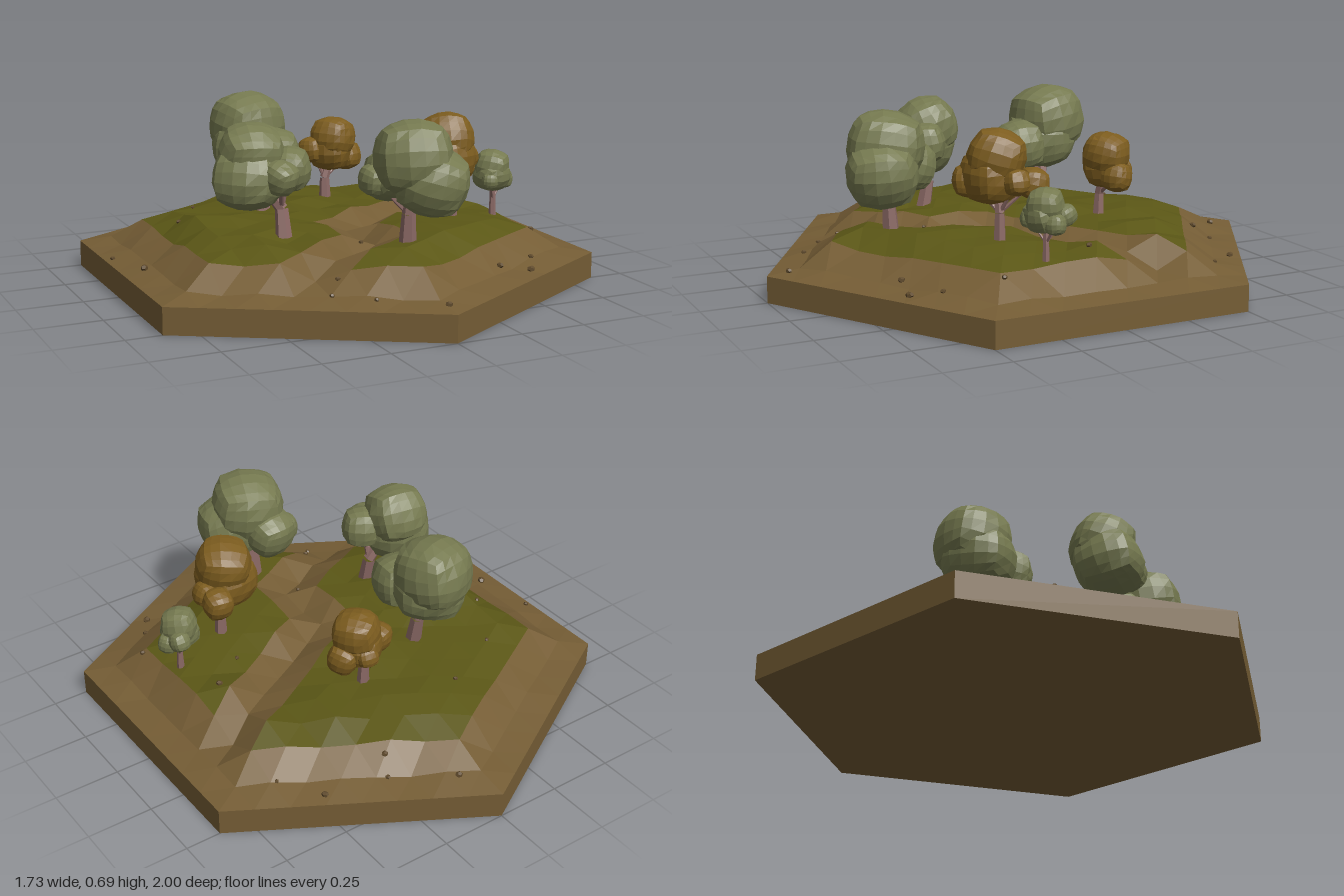
import * as THREE from 'three';

const STEP = 0.125, DX = STEP * Math.sqrt(3) / 2, RINGS = 8;
const mat = color => new THREE.MeshStandardMaterial({ color, flatShading: true });
const hash = (a, b = 0, c = 0) => {
  const s = Math.sin(a * 127.1 + b * 311.7 + c * 74.7) * 43758.5453;
  return s - Math.floor(s);
};
const ringOf = (q, r) => Math.max(Math.abs(q), Math.abs(r), Math.abs(q + r));

// Centre line of the sunken path
const PATH = [[0.9, -0.395], [0, 0.125], [0, 0.375], [-0.6, 0.721]].map(p => new THREE.Vector3(p[0], 0, p[1]));
function pathDistance(x, z) {
  const p = new THREE.Vector3(x, 0, z), near = new THREE.Vector3();
  let best = Infinity;
  for (let i = 0; i < PATH.length - 1; i++) {
    new THREE.Line3(PATH[i], PATH[i + 1]).closestPointToPoint(p, true, near);
    best = Math.min(best, near.distanceTo(p));
  }
  return best;
}

// Low rises on the mound: x, z, height
const RISES = [[-0.5, 0.05, 0.035], [0.1, 0.55, 0.022], [0.2, 0.3, 0.015], [-0.1, -0.2, 0.012]];

// Height of one lattice point: a mound stepping up ring by ring
function latticeHeight(q, r) {
  const d = ringOf(q, r), x = q * DX, z = (r + q / 2) * STEP;
  if (d >= RINGS) return 0.1;
  if (d === 7) return 0.112 + 0.015 * hash(q, r);
  let y = (d === 6 ? 0.193 : 0.224) + 0.03 * (hash(q, r) - 0.5);
  if (d < 6) RISES.forEach(([a, b, h]) => { y += h * Math.exp(-((x - a) ** 2 + (z - b) ** 2) / 0.05); });
  if (pathDistance(x, z) < 0.05) y -= d === 6 ? 0.06 : 0.05;
  return y;
}

// Height anywhere on the faceted ground
function groundAt(x, z) {
  const qf = x / DX, rf = z / STEP - qf / 2;
  const q = Math.floor(qf), r = Math.floor(rf), u = qf - q, v = rf - r;
  const b = latticeHeight(q + 1, r), c = latticeHeight(q, r + 1);
  if (u + v < 1) return latticeHeight(q, r) * (1 - u - v) + b * u + c * v;
  return latticeHeight(q + 1, r + 1) * (u + v - 1) + b * (1 - v) + c * (1 - u);
}

// All upward-facing triangles of a hexagonal lattice, as corners [q, r]
function latticeTriangles(rings) {
  const triangles = [];
  for (let q = -rings; q <= rings; q++) {
    for (let r = -rings; r <= rings; r++) {
      triangles.push([[q, r], [q, r + 1], [q + 1, r]], [[q + 1, r], [q, r + 1], [q + 1, r + 1]]);
    }
  }
  return triangles.filter(t => t.every(c => ringOf(...c) <= rings));
}

function makeSurface(name, triangles, toPoint, material) {
  const geo = new THREE.BufferGeometry();
  geo.setAttribute('position', new THREE.Float32BufferAttribute(triangles.flat().flatMap(c => toPoint(...c)), 3));
  geo.computeVertexNormals();
  const mesh = new THREE.Mesh(geo, material);
  mesh.name = name;
  return mesh;
}

// Grass covers the mound top except along the path
function isGrass(corners) {
  const q = corners.reduce((s, c) => s + c[0], 0) / 3, r = corners.reduce((s, c) => s + c[1], 0) / 3;
  return ringOf(q, r) < 6 && pathDistance(q * DX, (r + q / 2) * STEP) > DX;
}

// Faceted foliage clump: a subdivided cube drawn towards a sphere
function makeClump([x, y, z, rx, ry = rx], material, seed) {
  const n = rx > 0.09 ? 5 : 4;
  const geo = new THREE.BoxGeometry(2, 2, 2, n, n, n);
  const pos = geo.attributes.position, v = new THREE.Vector3(), ball = new THREE.Vector3();
  const turn = new THREE.Euler(hash(seed, 1) * 0.6 - 0.3, hash(seed, 2) * 3, hash(seed, 3) * 0.6 - 0.3);
  for (let i = 0; i < pos.count; i++) {
    v.fromBufferAttribute(pos, i);
    const k = [v.x, v.y, v.z].map(c => Math.round(c * 20));
    ball.copy(v).normalize();
    v.multiplyScalar(0.84).lerp(ball, 0.82);
    v.multiplyScalar(0.99 + 0.04 * hash(k[0] + seed, k[1], k[2])).applyEuler(turn);
    pos.setXYZ(i, v.x * rx, v.y * ry, v.z * rx);
  }
  geo.computeVertexNormals();
  const mesh = new THREE.Mesh(geo, material);
  mesh.name = 'foliage';
  mesh.position.set(x, y, z);
  return mesh;
}

// Tapered limb between two points
function makeLimb(name, from, to, r0, r1, material) {
  const a = new THREE.Vector3(...from), b = new THREE.Vector3(...to), dir = b.clone().sub(a);
  const mesh = new THREE.Mesh(new THREE.CylinderGeometry(r1, r0, dir.length(), 6, 1, true), material);
  mesh.name = name;
  mesh.position.copy(a).add(b).multiplyScalar(0.5);
  mesh.quaternion.setFromUnitVectors(new THREE.Vector3(0, 1, 0), dir.normalize());
  return mesh;
}

// Tree from a trunk foot and clumps [x, y, z, radius, half height]; the first is the crown
function makeTree({ name, foot: [x, z], r, clumps, leaf }, bark, seed) {
  const tree = new THREE.Group();
  tree.name = name;
  const main = clumps[0], base = groundAt(x, z) - 0.01;
  const at = t => [x + (main[0] - x) * t, base + (main[1] - base) * t, z + (main[2] - z) * t];
  const bend = at(0.35);
  bend[0] = x;
  tree.add(makeLimb('trunk', [x, base, z], bend, r * 1.15, r * 0.9, bark));
  tree.add(makeLimb('trunk', bend, at(0.7), r * 0.9, r * 0.7, bark));
  clumps.slice(2).forEach(c => tree.add(makeLimb('branch', bend, c.slice(0, 3), r * 0.4, r * 0.25, bark)));
  clumps.forEach((c, i) => tree.add(makeClump(c, leaf, seed * 10 + i)));
  return tree;
}

export function createModel() {
  const model = new THREE.Group();
  model.name = 'woodlandTile';
  const soil = mat(0x755d35), grass = mat(0x5b5716), bark = mat(0x8c6a66);
  const green = mat(0x767a50), amber = mat(0x7d5d1f), stone = mat(0x5f4a2c);

  // Hexagonal rim and slightly uneven underside
  const rim = new THREE.Mesh(new THREE.CylinderGeometry(1, 1, 0.1, 6, 1, true), soil);
  rim.name = 'baseRim';
  rim.position.y = 0.05;
  model.add(rim);
  const underPoint = (q, r) => [q * DX * 4, ringOf(q, r) < 2 ? 0.02 * hash(q, r, 3) : 0, (r + q / 2) * STEP * 4];
  const underside = latticeTriangles(2).map(([a, b, c]) => [a, c, b]);
  model.add(makeSurface('underside', underside, underPoint, soil));

  // Mound
  const groundPoint = (q, r) => [q * DX, latticeHeight(q, r), (r + q / 2) * STEP];
  const ground = latticeTriangles(RINGS);
  model.add(makeSurface('soil', ground.filter(t => !isGrass(t)), groundPoint, soil));
  model.add(makeSurface('grass', ground.filter(isGrass), groundPoint, grass));

  // Trees: upper crown, lower crown, then side clumps
  const trees = [
    { name: 'backLargeTree', foot: [-0.21, -0.2], r: 0.028, leaf: green,
      clumps: [[-0.245, 0.55, -0.265, 0.145, 0.14], [-0.25, 0.475, -0.24, 0.145, 0.125], [-0.195, 0.46, -0.12, 0.105, 0.105]] },
    { name: 'rightGreenTree', foot: [-0.31, 0.25], r: 0.027, leaf: green,
      clumps: [[-0.41, 0.53, 0.19, 0.125, 0.12], [-0.43, 0.45, 0.205, 0.135, 0.12],
        [-0.29, 0.48, 0.25, 0.085], [-0.35, 0.465, 0.32, 0.065]] },
    { name: 'frontLargeTree', foot: [0.05, 0.535], r: 0.028, leaf: green,
      clumps: [[0.06, 0.55, 0.555, 0.148, 0.14], [0.115, 0.465, 0.59, 0.138, 0.13],
        [0.025, 0.47, 0.45, 0.1], [-0.045, 0.46, 0.46, 0.06]] },
    { name: 'leftAmberTree', foot: [0.385, 0.25], r: 0.021, leaf: amber,
      clumps: [[0.36, 0.54, 0.25, 0.11, 0.105], [0.345, 0.47, 0.26, 0.118, 0.105],
        [0.45, 0.45, 0.15, 0.06], [0.3, 0.45, 0.33, 0.065], [0.46, 0.46, 0.22, 0.05]] },
    { name: 'backAmberTree', foot: [0.11, -0.31], r: 0.021, leaf: amber,
      clumps: [[0.15, 0.465, -0.32, 0.092, 0.088], [0.14, 0.415, -0.325, 0.09, 0.085],
        [0.215, 0.385, -0.33, 0.06], [0.06, 0.42, -0.33, 0.055], [0.15, 0.4, -0.385, 0.045]] },
    { name: 'smallTree', foot: [0.61, 0.18], r: 0.013, leaf: green,
      clumps: [[0.605, 0.4, 0.18, 0.07, 0.07], [0.6, 0.365, 0.185, 0.072, 0.06],
        [0.66, 0.345, 0.17, 0.04], [0.64, 0.37, 0.12, 0.04], [0.57, 0.355, 0.225, 0.035]] },
  ];
  trees.forEach((t, i) => model.add(makeTree(t, bark, i + 1)));

  // Pebbles scattered over the ground
  const pebbles = [
    [0.08, -0.85], [0.29, -0.71], [0.26, -0.65], [0.52, -0.65], [0.63, -0.51], [-0.18, -0.5], [-0.44, -0.37],
    [-0.84, -0.15], [-0.79, 0.08], [0.67, 0.37], [-0.32, 0.69], [-0.27, 0.63], [-0.2, 0.79], [0.01, 0.92],
    [0.38, 0.63], [0.5, 0.65], [0.56, 0.55], [0.42, 0.08], [0.56, -0.02], [-0.58, -0.14], [-0.05, 0.36],
  ];
  pebbles.forEach(([x, z], i) => {
    const s = 0.009 + 0.009 * hash(i, 5);
    const pebble = new THREE.Mesh(new THREE.DodecahedronGeometry(s), stone);
    pebble.name = 'pebble';
    pebble.scale.set(1, 0.75, 0.85);
    pebble.rotation.y = i * 1.7;
    pebble.position.set(x, groundAt(x, z) + s * 0.35, z);
    model.add(pebble);
  });
  return model;
}
